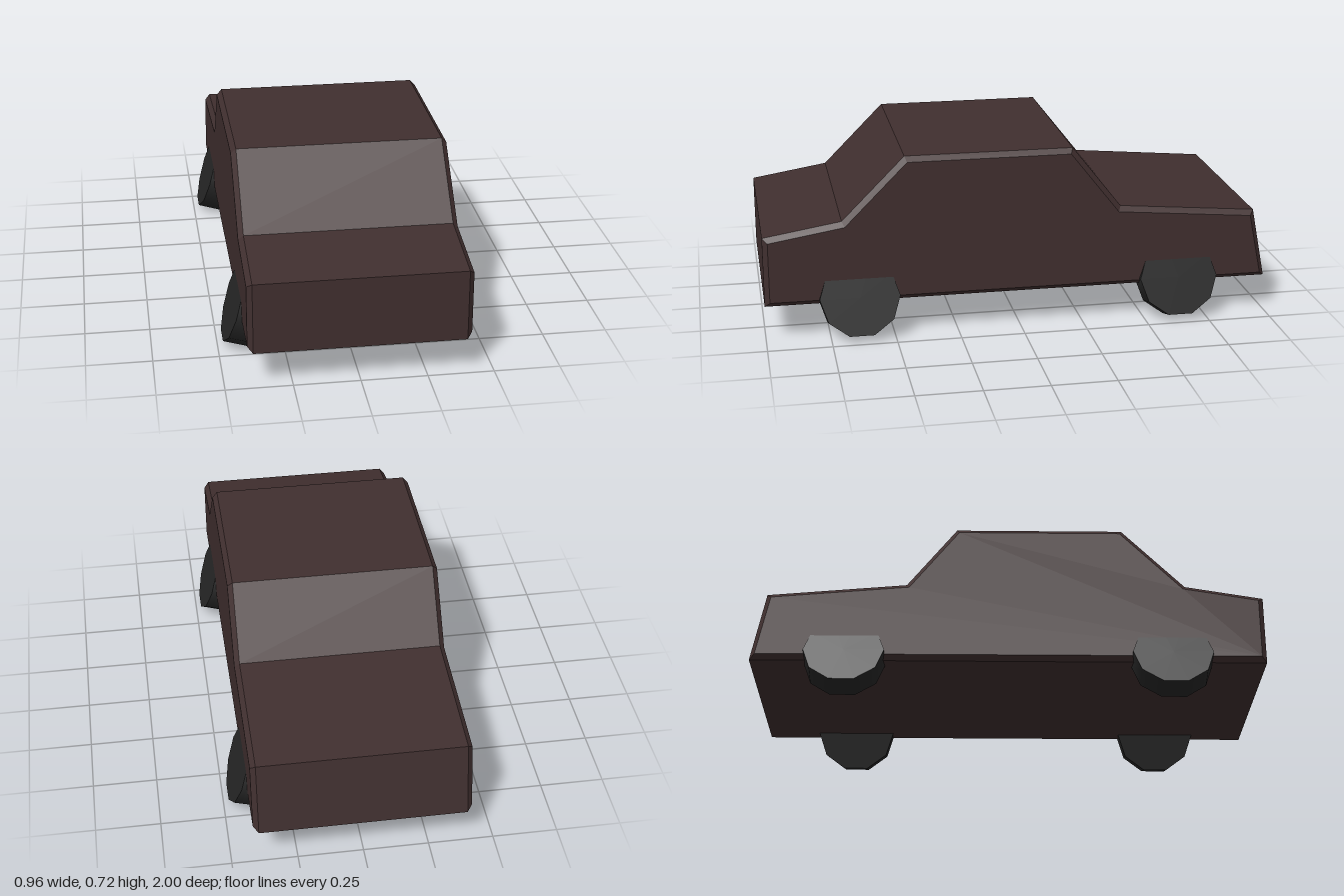
import * as THREE from 'three';

export function createModel() {
  const car = new THREE.Group();
  car.name = 'car';

  const paint = new THREE.MeshStandardMaterial({ color: 0x402f2f });
  paint.name = 'dark brown paint';
  const rubber = new THREE.MeshStandardMaterial({ color: 0x262626 });
  rubber.name = 'black rubber';

  // Body: side profile (z, y) extruded across the width with a small chamfer
  const halfWidth = 0.415, bevel = 0.02;
  const profile = new THREE.Shape([
    [1, 0.142], [1, 0.42], [0.695, 0.47], [0.45, 0.717],
    [-0.205, 0.717], [-0.4, 0.47], [-0.945, 0.422], [-1, 0.142],
  ].map(([z, y]) => new THREE.Vector2(z, y)));
  const depth = 2 * (halfWidth - bevel);
  const bodyGeometry = new THREE.ExtrudeGeometry(profile, {
    depth, bevelEnabled: true, bevelSegments: 1,
    bevelSize: bevel, bevelThickness: bevel, bevelOffset: -bevel,
  });
  bodyGeometry.translate(0, 0, -depth / 2).rotateY(-Math.PI / 2);
  const body = new THREE.Mesh(bodyGeometry, paint);
  body.name = 'body';
  car.add(body);

  // Wheels: ten-sided, splayed outward at the bottom
  const camber = 0.3;
  const wheelGeometry = new THREE.CylinderGeometry(0.156, 0.156, 0.095, 10);
  for (const side of [1, -1]) {
    for (const end of [1, -1]) {
      const wheel = new THREE.Mesh(wheelGeometry, rubber);
      wheel.name = (end > 0 ? 'front' : 'rear') + (side > 0 ? 'Left' : 'Right') + 'Wheel';
      wheel.position.set(side * 0.391, 0.156, end * 0.635);
      wheel.rotation.z = -side * (Math.PI / 2 - camber);
      car.add(wheel);
    }
  }
  return car;
}
